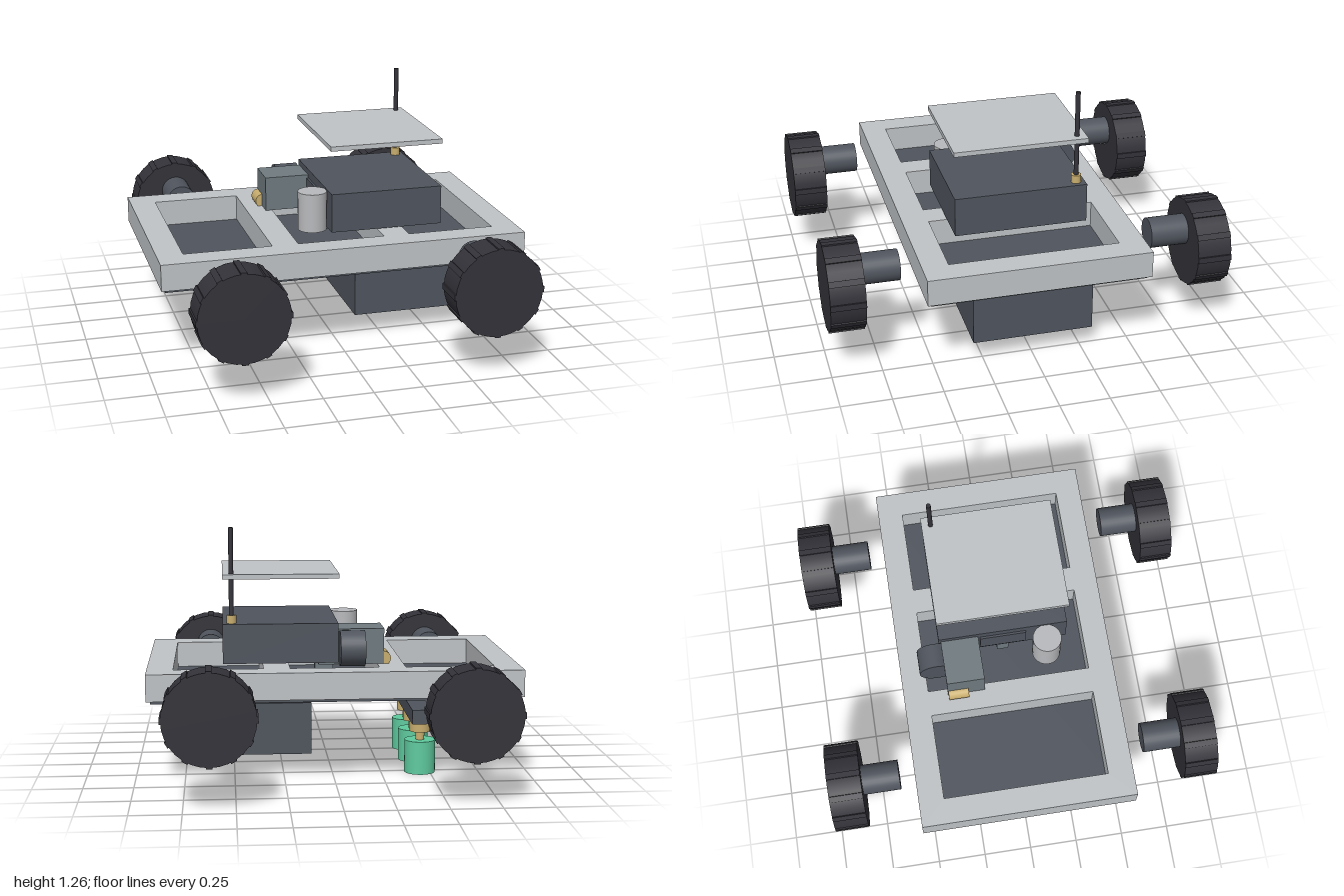
import * as THREE from 'three';

const mat = (name, color) => Object.assign(new THREE.MeshStandardMaterial({ color }), { name });

export function createModel() {
  const M = {
    frame: mat('light grey', 0xc0c4c7),
    dark: mat('slate grey', 0x50555e),
    tyre: mat('tyre black', 0x34333a),
    brass: mat('brass', 0xc9ae6e),
    green: mat('sensor green', 0x5fcb9f),
    pump: mat('pump grey', 0x707b80),
    metal: mat('metal', 0xb9babd),
  };
  const root = new THREE.Group();
  root.name = 'rover';

  const add = (name, geo, material, x, y, z, parent = root) => {
    const m = new THREE.Mesh(geo, material);
    m.name = name;
    m.position.set(x, y, z);
    parent.add(m);
    return m;
  };
  // Box given by its limits on each axis
  const box = (name, material, [x0, x1], [y0, y1], [z0, z1], parent) =>
    add(name, new THREE.BoxGeometry(x1 - x0, y1 - y0, z1 - z0), material,
      (x0 + x1) / 2, (y0 + y1) / 2, (z0 + z1) / 2, parent);
  // Cylinder centred at a point, along the chosen axis
  const rod = (name, material, r, len, axis, x, y, z, parent, sides = 32) => {
    const g = new THREE.CylinderGeometry(r, r, len, sides);
    if (axis === 'z') g.rotateX(Math.PI / 2);
    if (axis === 'x') g.rotateZ(Math.PI / 2);
    return add(name, g, material, x, y, z, parent);
  };

  // Chassis frame with three open bays
  const outline = new THREE.Shape();
  const rect = (path, x0, x1, y0, y1) =>
    path.moveTo(x0, y0).lineTo(x1, y0).lineTo(x1, y1).lineTo(x0, y1).closePath();
  rect(outline, -0.932, 0.932, -0.555, 0.555);
  for (const x of [-0.578, 0, 0.578]) {
    const bay = new THREE.Path();
    rect(bay, x - 0.223, x + 0.223, -0.425, 0.425);
    outline.holes.push(bay);
  }
  const frameGeo = new THREE.ExtrudeGeometry(outline, { depth: 0.135, bevelEnabled: false });
  frameGeo.rotateX(-Math.PI / 2);
  add('chassisFrame', frameGeo, M.frame, 0, 0.44, 0);
  box('bellyPlate', M.dark, [-0.912, 0.912], [0.425, 0.441], [-0.535, 0.535]);

  // Wheels with tread bars, shafts and motors
  for (const x of [-0.622, 0.622]) for (const s of [-1, 1]) {
    const wheel = new THREE.Group();
    wheel.name = 'wheel';
    wheel.position.set(x, 0.44, s * 0.914);
    root.add(wheel);
    rod('tyre', M.tyre, 0.222, 0.172, 'z', 0, 0, 0, wheel, 32);
    for (let i = 0; i < 12; i++) {
      const a = (i * Math.PI) / 6;
      add('treadBar', new THREE.BoxGeometry(0.03, 0.022, 0.172), M.tyre,
        Math.sin(a) * 0.217, Math.cos(a) * 0.217, 0, wheel).rotation.z = -a;
    }
    rod('wheelShaft', M.metal, 0.02, 0.06, 'z', x, 0.44, s * 0.83);
    rod('wheelMotor', M.dark, 0.077, 0.2, 'z', x, 0.508, s * 0.735);
  }

  // Hanging battery box
  box('batteryBox', M.dark, [0.11, 0.79], [0.11, 0.375], [-0.303, 0.303]);
  box('batteryLid', M.dark, [0.113, 0.787], [0.375, 0.4], [-0.288, 0.288]);
  rod('batteryCap', M.green, 0.073, 0.025, 'y', 0.445, 0.408, 0);

  // Sensor bar with three hanging probes
  box('sensorBar', M.dark, [-0.5, -0.4], [0.265, 0.338], [-0.355, 0.355]);
  for (const z of [-0.27, 0, 0.27]) {
    rod('probe', M.green, 0.079, 0.17, 'y', -0.45, 0.085, z);
    rod('probeNeck', M.brass, 0.023, 0.05, 'y', -0.45, 0.19, z);
    rod('probeCollar', M.brass, 0.053, 0.052, 'y', -0.45, 0.24, z);
    box('probeClip', M.brass, [-0.512, -0.498], [0.22, 0.34], [z - 0.025, z + 0.025]);
  }

  // Electronics box on its support, with raised panel
  box('electronicsBox', M.dark, [-0.025, 0.555], [0.585, 0.785], [-0.335, 0.335]);
  box('connectorStrip', M.dark, [-0.036, -0.024], [0.62, 0.74], [-0.12, 0.12]);
  box('boxSupport', M.pump, [-0.02, 0.075], [0.5, 0.59], [-0.03, 0.03]);
  box('topPanel', M.frame, [-0.03, 0.555], [1.01, 1.034], [-0.337, 0.337]);

  // Antenna
  rod('antennaBase', M.brass, 0.025, 0.042, 'y', 0.51, 0.805, -0.29);
  rod('antennaRod', M.tyre, 0.012, 0.44, 'y', 0.51, 1.045, -0.29);

  // Pump, its motor and outlet, and the canister
  box('pumpBody', M.pump, [-0.257, 0.075], [0.575, 0.755], [-0.325, -0.13]);
  rod('pumpMotor', M.dark, 0.09, 0.125, 'x', -0.092, 0.663, -0.365);
  rod('pumpOutlet', M.brass, 0.037, 0.105, 'z', -0.255, 0.602, -0.27);
  rod('canister', M.metal, 0.074, 0.2, 'y', -0.096, 0.677, 0.22);

  return root;
}
